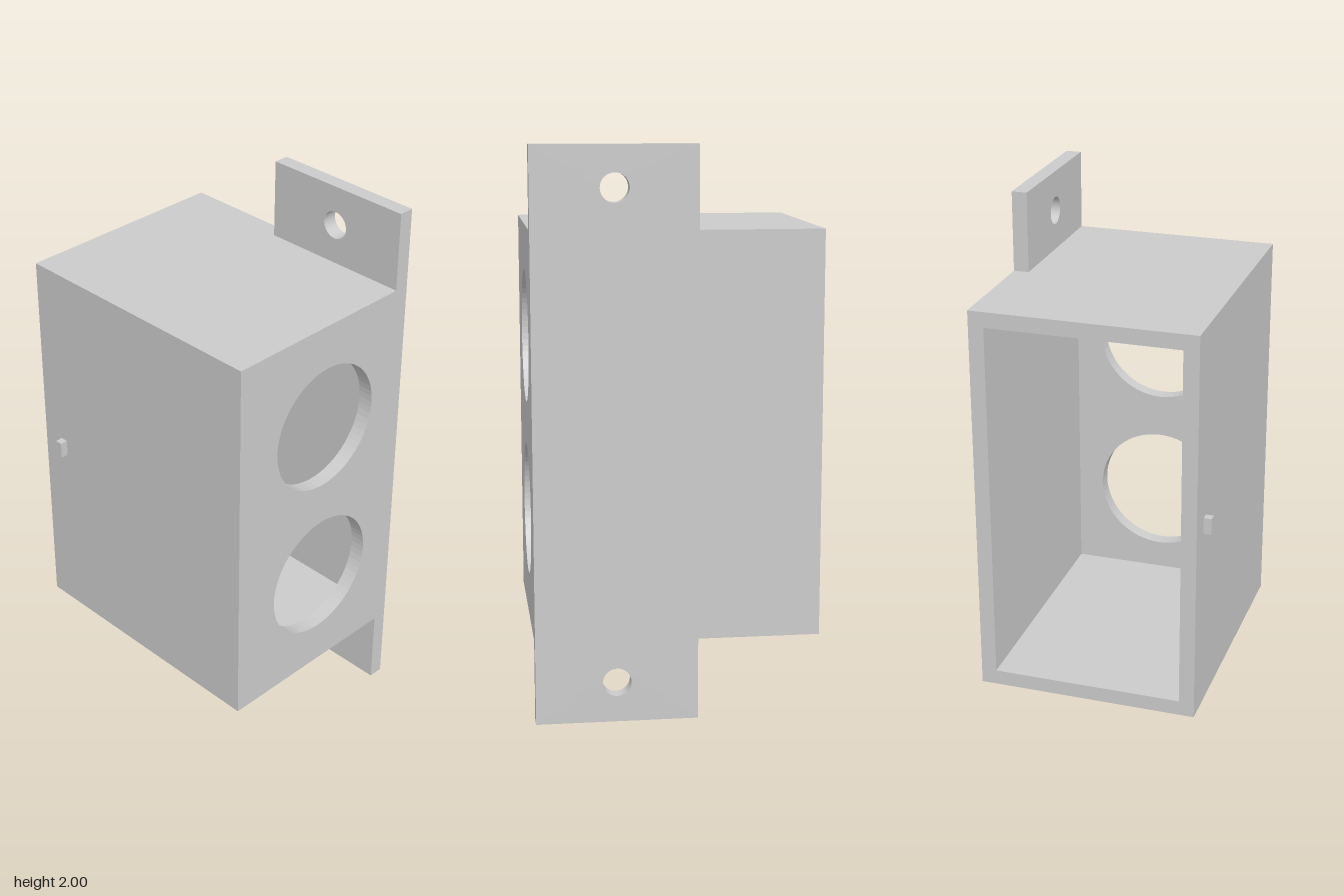
import * as THREE from 'three';

const WALL = 0.055;
const LEFT = 0.41, RIGHT = -0.385;        // outer x limits of the box
const BOTTOM = 0.29, TOP = 1.715;         // outer y limits of the box
const INNER = LEFT - WALL;                // inner face of the mounting plate

const polygon = (points) => new THREE.Shape(points.map(([x, y]) => new THREE.Vector2(x, y)));

function punch(shape, x, y, radius) {
  const hole = new THREE.Path();
  hole.absarc(x, y, radius, 0, Math.PI * 2, true);
  shape.holes.push(hole);
}

const extrude = (shape, depth) =>
  new THREE.ExtrudeGeometry(shape, { depth, bevelEnabled: false, curveSegments: 32 });

export function createModel() {
  const group = new THREE.Group();
  const material = new THREE.MeshStandardMaterial({ color: 0xcccccc });
  const add = (name, geometry) => {
    const mesh = new THREE.Mesh(geometry, material);
    mesh.name = name;
    group.add(mesh);
    return mesh;
  };

  // Side wall with the two screw ears, drawn in (-z, y) and turned to face +x
  const plate = polygon([
    [-0.5, 0], [0.07, 0], [0.07, BOTTOM], [0.5, BOTTOM],
    [0.5, TOP], [0.07, TOP], [0.07, 2], [-0.5, 2],
  ]);
  for (const y of [0.143, 1.857]) punch(plate, -0.215, y, 0.05);
  add('mountingPlate', extrude(plate, WALL).rotateY(Math.PI / 2).translate(INNER, 0, 0));

  // Top, bottom and far side walls as one C-shaped section, open at the back
  const shell = polygon([
    [INNER, BOTTOM], [INNER, BOTTOM + WALL], [RIGHT + WALL, BOTTOM + WALL],
    [RIGHT + WALL, TOP - WALL], [INNER, TOP - WALL], [INNER, TOP],
    [RIGHT, TOP], [RIGHT, BOTTOM],
  ]);
  add('boxWalls', extrude(shell, 1 - WALL).translate(0, 0, -0.5));

  // Front panel with two large round openings
  const panel = polygon([[RIGHT, BOTTOM], [INNER, BOTTOM], [INNER, TOP], [RIGHT, TOP]]);
  for (const y of [0.685, 1.315]) punch(panel, 0.025, y, 0.235);
  add('frontPanel', extrude(panel, WALL).translate(0, 0, 0.5 - WALL));

  // Small locating nub on the far side wall
  add('nub', new THREE.BoxGeometry(0.028, 0.06, 0.028)).position.set(RIGHT - 0.014, 1, -0.4);

  return group;
}
